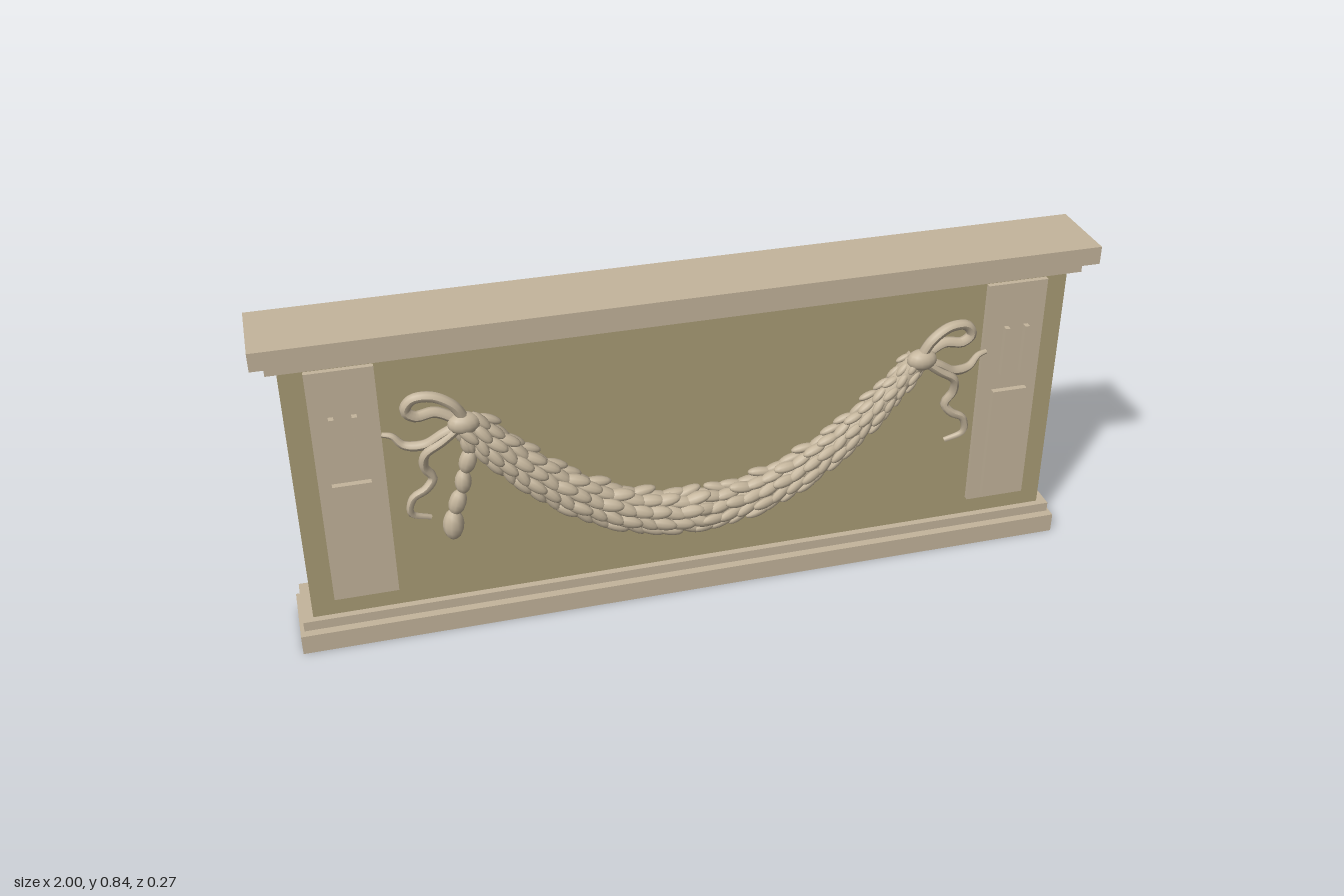
import * as THREE from 'three';
import { mergeGeometries } from 'three/addons/utils/BufferGeometryUtils.js';

const stone = new THREE.MeshStandardMaterial({ color: 0xc4b59c });
stone.name = 'pale stone';
const wall = new THREE.MeshStandardMaterial({ color: 0xaa9d77 });
wall.name = 'ochre wall';

const V = (x, y, z) => new THREE.Vector3(x, y, z);

function add(parent, name, geometry, material = stone) {
  const mesh = new THREE.Mesh(geometry, material);
  mesh.name = name;
  parent.add(mesh);
  return mesh;
}

// Box given by its limits on each axis
function slab(parent, name, x0, x1, y0, y1, z0, z1, material) {
  const g = new THREE.BoxGeometry(x1 - x0, y1 - y0, z1 - z0);
  g.translate((x0 + x1) / 2, (y0 + y1) / 2, (z0 + z1) / 2);
  return add(parent, name, g, material);
}

// Ellipsoid with its long axis along dir and its thickness along out
function pod(center, dir, out, length, width, thick) {
  const x = dir.clone().normalize();
  const y = V(0, 0, 0).crossVectors(out, x).normalize();
  const z = V(0, 0, 0).crossVectors(x, y);
  const m = new THREE.Matrix4().makeBasis(x, y, z).setPosition(center);
  const g = new THREE.SphereGeometry(1, 10, 8);
  g.rotateZ(Math.PI / 2);
  g.scale(length, width, thick);
  return g.applyMatrix4(m);
}

// Round ribbon through a few points, tapering towards its far end
function ribbon(points, radius, taper) {
  const curve = new THREE.CatmullRomCurve3(points.map(p => V(...p)));
  const rings = 36, sides = 8;
  const g = new THREE.TubeGeometry(curve, rings, radius, sides);
  const pos = g.attributes.position, p = V(0, 0, 0);
  for (let i = 0; i < pos.count; i++) {
    const t = Math.floor(i / (sides + 1)) / rings;
    const c = curve.getPointAt(t);
    p.fromBufferAttribute(pos, i).sub(c).multiplyScalar(1 - taper * Math.max(0, t - 0.6) / 0.4).add(c);
    pos.setXYZ(i, p.x, p.y, p.z);
  }
  g.computeVertexNormals();
  return g;
}

const swagY = x => 0.258 + 0.342 * Math.pow(Math.abs(x) / 0.55, 2.1);
const swagRadius = x => {
  const e = Math.pow(Math.abs(x) / 0.55, 2);
  return 0.05 - (x < 0 ? 0.012 : 0.022) * e;
};

function buildGarland() {
  const group = new THREE.Group();
  group.name = 'garland';
  const pts = [];
  for (let i = 0; i <= 20; i++) {
    const x = -0.55 + 0.055 * i;
    pts.push(V(x, swagY(x), 0.085));
  }
  const curve = new THREE.CatmullRomCurve3(pts);

  // Core behind the leaves
  const core = new THREE.TubeGeometry(curve, 50, 0.03, 10);
  add(group, 'garlandCore', core);

  // Rows of overlapping leaves wrapped around the front of the core
  const leaves = [];
  const steps = 31, rows = 6;
  for (let i = 0; i < steps; i++) {
    for (let j = 0; j < rows; j++) {
      const t = (i + 0.5 + (j % 2) * 0.5) / (steps + 0.5);
      const c = curve.getPointAt(t), tan = curve.getTangentAt(t);
      const up = V(-tan.y, tan.x, 0);
      const a = -1.75 + 3.5 * j / (rows - 1);
      const r = swagRadius(c.x);
      const out = up.clone().multiplyScalar(Math.sin(a)).add(V(0, 0, Math.cos(a)));
      const wobble = Math.sin(i * 2.3 + j * 4.1);
      c.addScaledVector(up, Math.sin(a) * r * (0.92 + 0.1 * wobble));
      c.z += Math.cos(a) * (0.022 + 0.2 * r + 0.003 * wobble);
      // tips lift outward, towards the lowest point of the swag
      const dir = tan.clone().multiplyScalar(t < 0.5 ? 1 : -1)
        .addScaledVector(out, 0.25)
        .addScaledVector(up, 0.22 * wobble);
      const size = (c.x < 0 ? 0.78 : 0.7) * r;
      leaves.push(pod(c, dir, out, size, size * 0.46, size * 0.36));
    }
  }
  add(group, 'garlandLeaves', mergeGeometries(leaves));
  return group;
}

// Knot, bow loop and two curling tails at one end (s is the side)
function buildBow(s) {
  const group = new THREE.Group();
  group.name = s > 0 ? 'leftBow' : 'rightBow';
  const flip = list => list.map(([x, y, z]) => [x * s, y, z]);

  const knot = new THREE.SphereGeometry(1, 14, 10);
  knot.scale(0.038, 0.027, 0.026);
  knot.translate(0.553 * s, 0.602, 0.1);
  add(group, 'knot', knot);

  const loop = [[0.55, 0.61, 0.1], [0.575, 0.655, 0.105], [0.62, 0.681, 0.1], [0.665, 0.677, 0.095],
    [0.681, 0.65, 0.092], [0.66, 0.63, 0.09], [0.615, 0.632, 0.085], [0.56, 0.605, 0.09]];
  add(group, 'bowLoop', ribbon(flip(loop), 0.013, 0));

  const side = [[0.56, 0.598, 0.095], [0.6, 0.578, 0.093], [0.645, 0.55, 0.085],
    [0.69, 0.55, 0.075], [0.715, 0.575, 0.07], [0.737, 0.58, 0.066]];
  add(group, 'sideTail', ribbon(flip(side), 0.012, 0.5));

  const long = [[0.56, 0.595, 0.1], [0.605, 0.56, 0.1], [0.645, 0.53, 0.095], [0.65, 0.49, 0.085],
    [0.632, 0.455, 0.08], [0.65, 0.43, 0.085], [0.682, 0.41, 0.085], [0.69, 0.365, 0.08], [0.645, 0.342, 0.072]];
  add(group, 'longTail', ribbon(flip(long), 0.011, 0.4));
  return group;
}

export function createModel() {
  const model = new THREE.Group();
  model.name = 'garlandPanel';

  // Wall block with stepped mouldings
  slab(model, 'wallBlock', -0.945, 0.945, 0.015, 0.798, -0.14, 0.038, wall);
  slab(model, 'basePlinth', -0.98, 0.98, 0, 0.051, -0.105, 0.071);
  slab(model, 'baseStep', -0.97, 0.97, 0.055, 0.08, -0.105, 0.055);
  slab(model, 'corniceStep', -0.97, 0.97, 0.764, 0.79, -0.105, 0.062);
  slab(model, 'corniceCap', -1, 1, 0.795, 0.84, -0.105, 0.09);

  // Pilasters with a raised panel and two thin bars
  for (const s of [-1, 1]) {
    const pilaster = new THREE.Group();
    pilaster.name = s > 0 ? 'leftPilaster' : 'rightPilaster';
    const piece = (name, x, w, y0, y1, z0, z1) =>
      slab(pilaster, name, s * x - w / 2, s * x + w / 2, y0, y1, z0, z1);
    piece('pilasterFace', 0.813, 0.154, 0.13, 0.75, 0.03, 0.051);
    piece('raisedPanel', 0.815, 0.09, 0.145, 0.457, 0.05, 0.066);
    piece('innerBar', 0.791, 0.012, 0.503, 0.634, 0.05, 0.066);
    piece('outerBar', 0.843, 0.012, 0.503, 0.634, 0.05, 0.066);
    model.add(pilaster);
    model.add(buildBow(s));
  }

  model.add(buildGarland());

  // Hanging string of buds at the -x end
  const buds = [[-0.545, 0.545, 0.032], [-0.55, 0.495, 0.034], [-0.565, 0.44, 0.032],
    [-0.582, 0.385, 0.034], [-0.596, 0.325, 0.041]];
  const string = buds.map(([x, y, l], i) =>
    pod(V(x, y, 0.09), V(i % 2 ? 0.3 : 0.05, 1, 0), V(0, 0, 1), l, l * 0.62, l * 0.6));
  add(model, 'hangingBuds', mergeGeometries(string));

  return model;
}
